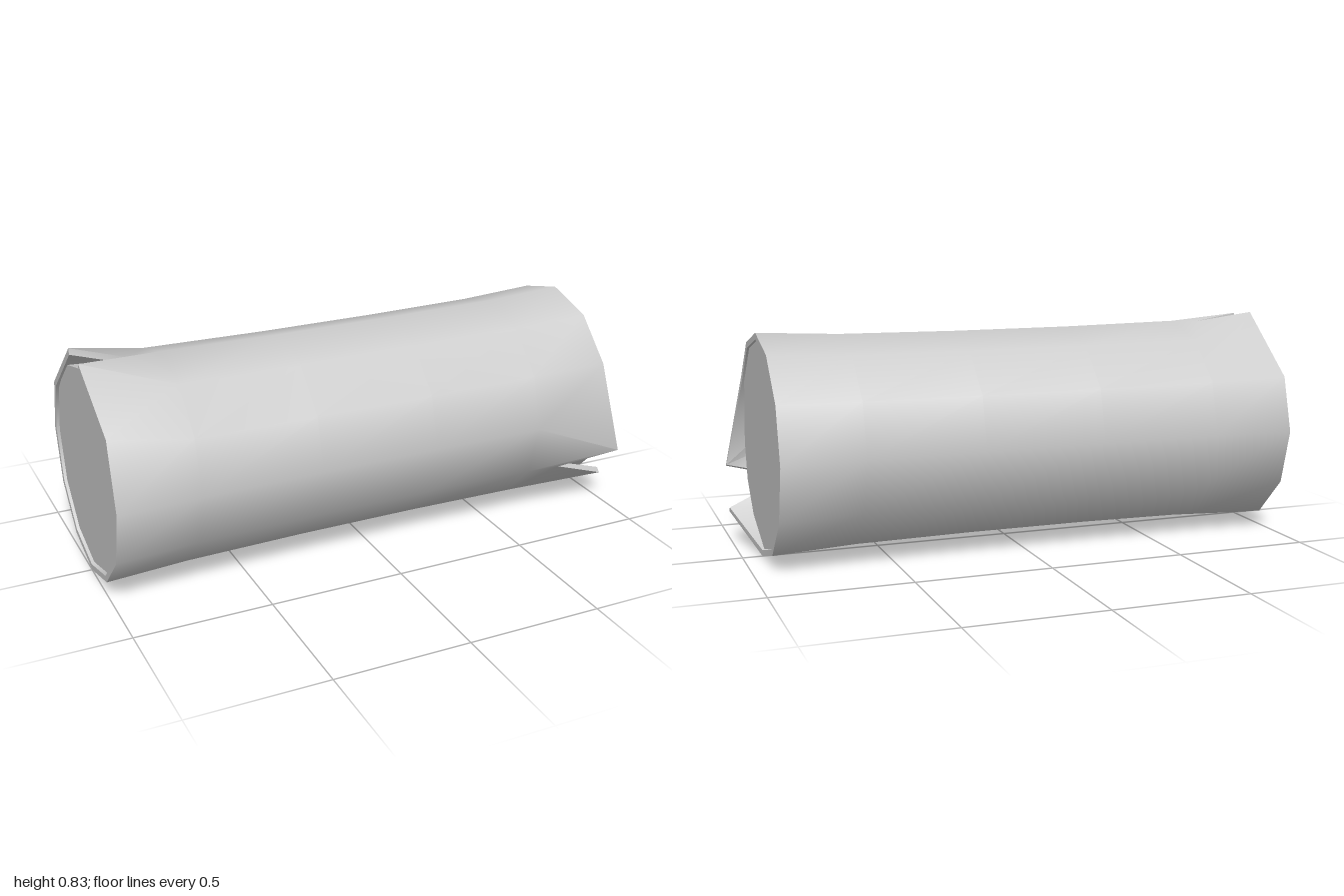
import * as THREE from 'three';
import { toCreasedNormals } from 'three/addons/utils/BufferGeometryUtils.js';

const SIDES = 12;
const CENTRE = 0.407;
const WALL = 0.023;

// One ring of points around the x axis; index 0 is the top, going round towards +z.
// "moved" replaces single points with [x, y, z].
function makeRing(x, radius, moved = {}) {
  return Array.from({ length: SIDES }, (_, j) => {
    if (moved[j]) return new THREE.Vector3(...moved[j]);
    const a = (j / SIDES) * Math.PI * 2;
    return new THREE.Vector3(x, CENTRE + radius * Math.cos(a), radius * Math.sin(a));
  });
}

// Same ring pulled towards the axis by the bark thickness
function inset(ring) {
  return ring.map((p) => {
    const r = Math.hypot(p.y - CENTRE, p.z);
    const k = (r - WALL) / r;
    return new THREE.Vector3(p.x, CENTRE + (p.y - CENTRE) * k, p.z * k);
  });
}

// Skin a list of rings
function skin(rings) {
  const positions = rings.flat().flatMap((p) => [p.x, p.y, p.z]);
  const index = [];
  for (let i = 0; i < rings.length - 1; i++) {
    for (let j = 0; j < SIDES; j++) {
      const a = i * SIDES + j;
      const b = i * SIDES + ((j + 1) % SIDES);
      index.push(a, b, a + SIDES, b, b + SIDES, a + SIDES);
    }
  }
  const geometry = new THREE.BufferGeometry();
  geometry.setAttribute('position', new THREE.Float32BufferAttribute(positions, 3));
  geometry.setIndex(index);
  return toCreasedNormals(geometry, THREE.MathUtils.degToRad(50));
}

export function createModel() {
  const group = new THREE.Group();
  group.name = 'log';

  // Bark: a thin shell, flared at the ends, split at the top of one end
  // and low on the front of the other
  const splitTop = makeRing(-1, 0.405, {
    11: [-1, 0.83, -0.08],
    0: [-0.81, 0.793, 0],
    1: [-1, 0.815, 0.045],
    2: [-1, 0.655, 0.34],
  });
  const splitFront = makeRing(0.928, 0.405, {
    3: [0.99, 0.26, 0.405],
    4: [0.76, 0.21, 0.345],
    5: [1, 0.11, 0.285],
  });
  const middle = [[-0.7, 0.391], [-0.25, 0.385], [0.2, 0.385], [0.63, 0.39]]
    .map(([x, r]) => makeRing(x, r));

  const bark = new THREE.Mesh(
    skin([
      inset(middle[0]), inset(splitTop), splitTop,
      ...middle,
      splitFront, inset(splitFront), inset(middle[3]),
    ]),
    new THREE.MeshStandardMaterial({ color: 0xcccccc, side: THREE.DoubleSide }),
  );
  bark.name = 'bark';
  group.add(bark);

  // Wood core with flat sawn ends, visible inside the splits
  const profile = [
    [0, -0.99], [0.375, -0.99], [0.35, -0.65], [0.35, 0.6], [0.38, 0.92], [0, 0.92],
  ].map(([r, x]) => new THREE.Vector2(r, x));
  const core = new THREE.Mesh(
    new THREE.LatheGeometry(profile, SIDES).rotateZ(-Math.PI / 2),
    new THREE.MeshStandardMaterial({ color: 0xcccccc, flatShading: true }),
  );
  core.name = 'woodCore';
  core.position.y = CENTRE;
  group.add(core);

  return group;
}
